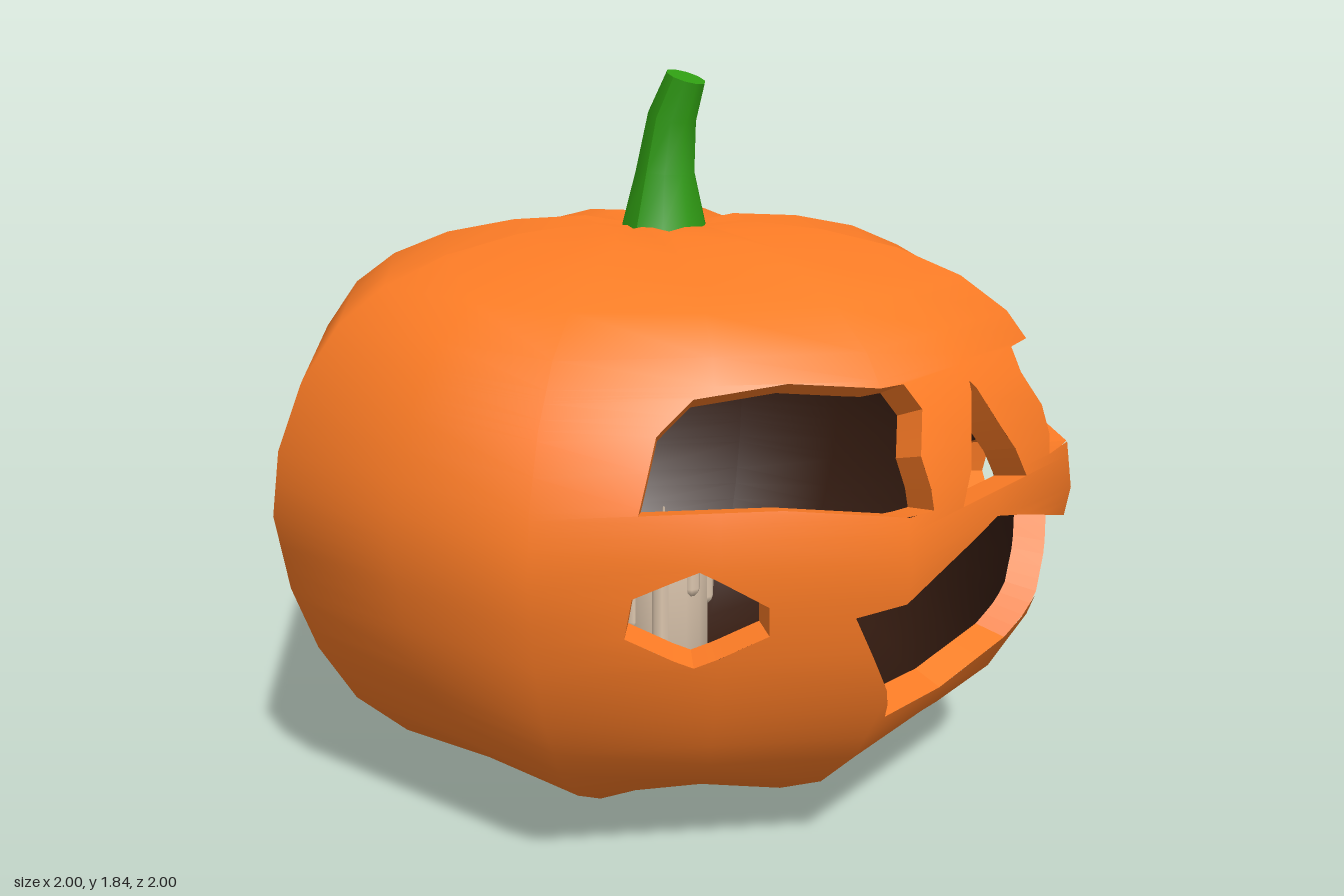
import * as THREE from 'three';

// Shell rows, bottom to top: [flat-side radius, y, groove offset in y]
const ROWS = [
  [0, 0.03, 0], [0.2, 0, 0.03], [0.39, 0.013, 0.05], [0.55, 0.075, 0.045], [0.71, 0.17, 0.012],
  [0.83, 0.29, 0], [0.915, 0.445, 0], [0.97, 0.61, 0], [1, 0.8, 0], [0.98, 0.96, 0], [0.92, 1.12, 0],
  [0.83, 1.25, 0], [0.72, 1.335, -0.008], [0.57, 1.4, -0.03], [0.39, 1.44, -0.04], [0.2, 1.457, -0.02], [0, 1.43, 0],
];
const N = ROWS.length - 1;
const CORNER = 1 / Math.cos(Math.PI / 8);
const CENTRE = new THREE.Vector3(0, 0.75, 0);
const INNER = 0.92;

// Openings of the face as (z, y) outlines
const EYE = [[0.82, 0.945], [0.75, 1.1], [0.66, 1.17], [0.5, 1.195], [0.27, 1.175], [0.25, 1.12], [0.31, 1.03], [0.3, 0.91], [0.6, 0.945]];
const CHEEK = [[0.84, 0.765], [0.74, 0.82], [0.625, 0.73], [0.615, 0.66], [0.72, 0.588], [0.84, 0.67]];
const NOSE = [[0, 1.14], [0.165, 0.885], [-0.165, 0.885]];
const MOUTH = [[0, 0.825], [0.485, 0.695], [0.31, 0.395], [0, 0.355], [-0.31, 0.395], [-0.485, 0.695]];
const mirror = (outline) => outline.map(([z, y]) => [-z, y]);

// Grid corner of the octagonal shell: odd i is an octagon corner, even i a groove
function node(i, j) {
  const [r, y, dip] = ROWS[j], odd = Math.abs(i % 2) === 1, a = i * Math.PI / 8;
  const R = odd ? r * CORNER : r;
  return new THREE.Vector3(R * Math.cos(a), odd ? y : y + dip, R * Math.sin(a));
}

// Point of the shell at column u (16 per turn) and row t
function shellPoint(u, t) {
  const i = Math.floor(u), j = Math.min(N - 1, Math.floor(t)), f = u - i;
  const low = node(i, j).lerp(node(i + 1, j), f);
  const high = node(i, j + 1).lerp(node(i + 1, j + 1), f);
  return low.lerp(high, t - j);
}

function shellNormal(u, t) {
  const c = THREE.MathUtils.clamp(t, 0.5, N - 0.5);
  const up = shellPoint(u, c + 0.5).sub(shellPoint(u, c - 0.5));
  const around = shellPoint(u + 0.5, c).sub(shellPoint(u - 0.5, c));
  return up.cross(around).normalize();
}

const toInner = (p) => p.sub(CENTRE).multiplyScalar(INNER).add(CENTRE);

// Turn a (z, y) outline point into shell (u, t)
function toShell([z, y]) {
  let j = 3;
  while (ROWS[j + 1][1] < y) j++;
  const f = (y - ROWS[j][1]) / (ROWS[j + 1][1] - ROWS[j][1]);
  const R = THREE.MathUtils.lerp(ROWS[j][0], ROWS[j + 1][0], f) * CORNER;
  const stops = [0, 0.3827, 0.6533, 0.9239], s = Math.min(Math.abs(z) / R, 0.92);
  let k = 0;
  while (stops[k + 1] < s) k++;
  return { u: Math.sign(z) * (k + (s - stops[k]) / (stops[k + 1] - stops[k])), t: j + f };
}

const EDGES = [EYE, mirror(EYE), CHEEK, mirror(CHEEK), NOSE, MOUTH].flatMap((outline) => {
  const pts = outline.map(toShell);
  return pts.map((a, i) => ({ a, b: pts[(i + 1) % pts.length] }));
});

// Skin with openings: horizontal bands cut into trapezoids between columns and outline edges
function skinGeometry(inside) {
  const levels = Array.from({ length: N + 1 }, (_, i) => i);
  for (const { a, b } of EDGES) {
    levels.push(a.t);
    for (let u = -7; u < 8; u++) {
      if ((a.u - u) * (b.u - u) < 0) levels.push(a.t + (b.t - a.t) * (u - a.u) / (b.u - a.u));
    }
  }
  levels.sort((p, q) => p - q);
  const pos = [], nor = [];
  const put = ([u, t]) => {
    const p = shellPoint(u, t), n = shellNormal(u, t);
    if (inside) { toInner(p); n.negate(); }
    pos.push(p.x, p.y, p.z);
    nor.push(n.x, n.y, n.z);
  };
  for (let l = 0; l + 1 < levels.length; l++) {
    const t0 = levels[l], t1 = levels[l + 1], mid = (t0 + t1) / 2;
    if (t1 - t0 < 1e-6) continue;
    const lines = [];
    for (let u = -8; u <= 8; u++) lines.push({ u0: u, u1: u, cut: false });
    for (const { a, b } of EDGES) {
      if ((a.t - mid) * (b.t - mid) >= 0) continue;
      const at = (t) => a.u + (b.u - a.u) * (t - a.t) / (b.t - a.t);
      lines.push({ u0: at(t0), u1: at(t1), cut: true });
    }
    lines.sort((p, q) => p.u0 + p.u1 - q.u0 - q.u1);
    let open = false;
    for (let i = 0; i + 1 < lines.length; i++) {
      const p = lines[i], q = lines[i + 1];
      if (p.cut) open = !open;
      if (open) continue;
      const A = [p.u0, t0], B = [p.u1, t1], C = [q.u1, t1], D = [q.u0, t0];
      (inside ? [A, C, B, A, D, C] : [A, B, C, A, C, D]).forEach(put);
    }
  }
  const g = new THREE.BufferGeometry();
  g.setAttribute('position', new THREE.Float32BufferAttribute(pos, 3));
  g.setAttribute('normal', new THREE.Float32BufferAttribute(nor, 3));
  return g;
}

// Cut faces joining the outer and inner skins around each opening
function cutGeometry() {
  const pts = [], STEPS = 10;
  for (const { a, b } of EDGES) {
    const at = (k) => shellPoint(a.u + (b.u - a.u) * k / STEPS, a.t + (b.t - a.t) * k / STEPS);
    for (let k = 0; k < STEPS; k++) {
      const A = at(k), B = at(k + 1), C = toInner(B.clone()), D = toInner(A.clone());
      pts.push(A, B, C, A, C, D);
    }
  }
  const g = new THREE.BufferGeometry().setFromPoints(pts);
  g.computeVertexNormals();
  return g;
}

// Bent, tapering stem: a cylinder whose rings follow [x, y, radius, tilt]
function stemGeometry() {
  const rings = [[0, 1.42, 0.12, 0], [0.005, 1.58, 0.08, -0.08], [0.027, 1.72, 0.066, -0.22], [0.072, 1.822, 0.053, -0.35]];
  const g = new THREE.CylinderGeometry(1, 1, 3, 10, 3);
  const p = g.attributes.position;
  for (let i = 0; i < p.count; i++) {
    const [x, y, r, tilt] = rings[Math.round(p.getY(i) + 1.5)];
    const px = p.getX(i) * r;
    p.setXYZ(i, x + px * Math.cos(tilt), y + px * Math.sin(tilt), p.getZ(i) * r);
  }
  g.computeVertexNormals();
  return g;
}

export function createModel() {
  const model = new THREE.Group();
  const paint = (color, side = THREE.FrontSide) => new THREE.MeshStandardMaterial({ color, side });
  const orange = 0xff7d26;
  const wax = paint(0xdcc6ae);
  const add = (parent, name, geometry, material) => {
    const mesh = new THREE.Mesh(geometry, material);
    mesh.name = name;
    parent.add(mesh);
    return mesh;
  };

  add(model, 'pumpkinSkin', skinGeometry(false), paint(orange));
  add(model, 'hollowInside', skinGeometry(true), paint(0x341b10));
  add(model, 'openingEdges', cutGeometry(), paint(orange, THREE.DoubleSide));
  add(model, 'stem', stemGeometry(), paint(0x2f9c12));

  // Candle with wax drips and a wick
  const candle = new THREE.Group();
  candle.name = 'candle';
  model.add(candle);
  const profile = [[0, 0.08], [0.125, 0.08], [0.125, 0.52], [0.112, 0.55], [0.08, 0.562], [0, 0.55]];
  add(candle, 'candleBody', new THREE.LatheGeometry(profile.map(([x, y]) => new THREE.Vector2(x, y)), 16), wax);
  for (let i = 0; i < 8; i++) {
    const a = i * Math.PI / 4 + 0.2, length = 0.07 + 0.05 * (i * 3 % 4);
    const drip = add(candle, 'waxDrip', new THREE.CapsuleGeometry(0.026, length, 3, 8), wax);
    drip.position.set(0.113 * Math.cos(a), 0.525 - length / 2, 0.113 * Math.sin(a));
  }
  const wick = add(candle, 'wick', new THREE.CylinderGeometry(0.003, 0.007, 0.11, 6), wax);
  wick.position.y = 0.603;
  return model;
}
